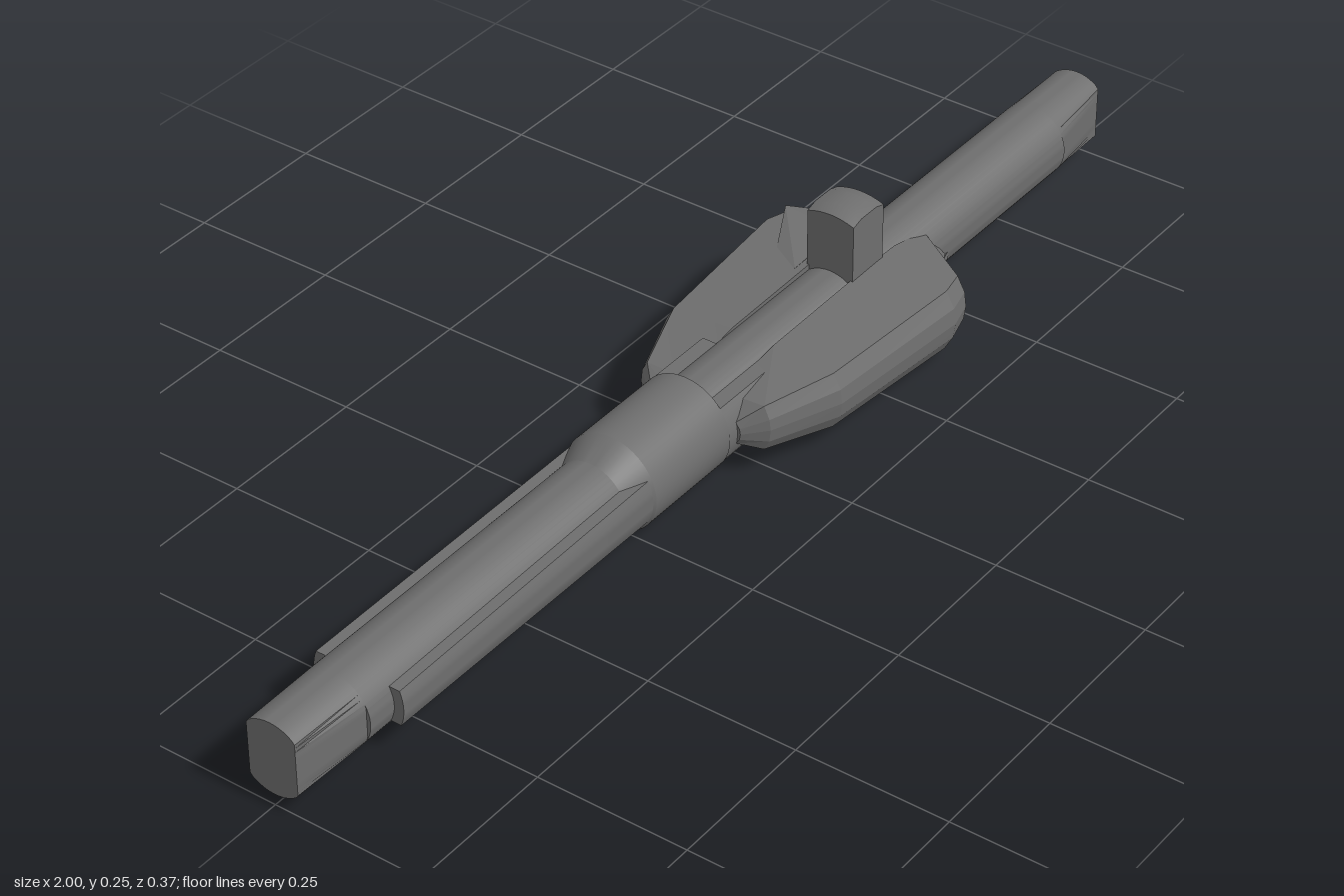
import * as THREE from 'three';
import { toCreasedNormals } from 'three/addons/utils/BufferGeometryUtils.js';

const AXIS = 0.082;   // height of the shaft's centre line
const R = 0.0625;     // shaft radius

// Skins a list of {x, ring} sections; each ring holds [y, z] pairs relative to the axis.
function loft(sections, crease) {
  const pos = [];
  const n = sections[0].ring.length;
  const p = (s, j) => [s.x, s.ring[j % n][0], s.ring[j % n][1]];
  const tri = (a, b, c) => pos.push(...a, ...b, ...c);
  for (let i = 0; i < sections.length - 1; i++) {
    const s = sections[i], t = sections[i + 1];
    for (let j = 0; j < n; j++) {
      tri(p(s, j), p(s, j + 1), p(t, j));
      tri(p(s, j + 1), p(t, j + 1), p(t, j));
    }
  }
  const mid = (s) => [s.x, s.ring.reduce((a, q) => a + q[0], 0) / n, s.ring.reduce((a, q) => a + q[1], 0) / n];
  const s = sections[0], t = sections[sections.length - 1];
  for (let j = 0; j < n; j++) {
    tri(mid(s), p(s, j + 1), p(s, j));
    tri(mid(t), p(t, j), p(t, j + 1));
  }
  const g = new THREE.BufferGeometry();
  g.setAttribute('position', new THREE.Float32BufferAttribute(pos, 3));
  return toCreasedNormals(g, crease);
}

// Circle whose sides are cut flat at z = +-w
function clippedCircle(r, w = r) {
  const ring = [];
  for (let i = 0; i < 48; i++) {
    const a = (i / 48) * Math.PI * 2;
    ring.push([Math.cos(a) * r, THREE.MathUtils.clamp(Math.sin(a) * r, -w, w)]);
  }
  return ring;
}

// Slice of a disc facing +z, reaching half a height h above and below the axis
function sideSlice(r, h) {
  const a = Math.asin(h / r);
  const ring = [[-h, 0.02], [h, 0.02]];
  for (let i = 0; i <= 8; i++) {
    const t = a - (2 * a * i) / 8;
    ring.push([Math.sin(t) * r, Math.cos(t) * r]);
  }
  return ring;
}

export function createModel() {
  const model = new THREE.Group();
  const metal = new THREE.MeshStandardMaterial({ color: 0x6e6e6e });
  metal.name = 'dark grey metal';

  const add = (name, geometry, parent = model) => {
    const m = new THREE.Mesh(geometry, metal);
    m.name = name;
    parent.add(m);
    return m;
  };

  const body = new THREE.Group();
  body.name = 'body';
  body.position.y = AXIS;
  model.add(body);

  // Round shaft with tapering flats at both ends
  const stations = [[-1, 0.042], [-0.87, 0.056], [-0.87, R], [0.87, R], [0.87, 0.056], [1, 0.042]];
  add('shaft', loft(stations.map(([x, w]) => ({ x, ring: clippedCircle(R, w) })), 0.35), body);

  // Thicker collar blending into the shaft
  add('collar', loft([[-0.3, 0.062], [-0.25, 0.081], [-0.07, 0.081]]
    .map(([x, r]) => ({ x, ring: clippedCircle(r) })), 0.25), body);

  // Left and right sides: raised rail, collar tongue and wing, turned half round the axis
  for (const side of [0, 1]) {
    const half = new THREE.Group();
    half.name = side ? 'backSide' : 'frontSide';
    half.rotation.x = side * Math.PI;
    body.add(half);

    add('rail', loft([
      { x: -0.82, ring: sideSlice(0.079, 0.03) },
      { x: -0.25, ring: sideSlice(0.079, 0.036) },
    ], 0.4), half);

    add('collarTongue', loft([-0.08, 0.06].map((x) => ({ x, ring: sideSlice(0.08, 0.05) })), 0.4), half);

    // x, outer reach, top, bottom, inner top, inner bottom
    const wing = [
      [-0.05, 0.085, 0.02, -0.018, 0.02, -0.02],
      [-0.02, 0.118, 0.044, -0.034, 0.04, -0.034],
      [0.1, 0.162, 0.05, -0.047, 0.056, -0.055],
      [0.37, 0.184, 0.053, -0.053, 0.06, -0.06],
      [0.42, 0.17, 0.048, -0.05, 0.058, -0.058],
      [0.5, 0.078, 0.012, -0.03, 0.04, -0.045],
      [0.54, 0.06, -0.012, -0.022, 0.01, -0.03],
    ];
    add('wing', loft(wing.map(([x, z, t, b, it, ib]) => ({
      x,
      ring: [[it, 0.038], [t, z * 0.9], [t * 0.6 + b * 0.1, z * 0.98], [(t + b) / 2, z],
        [b * 0.6 + t * 0.1, z * 0.98], [b, z * 0.9], [ib, 0.038]],
    })), 0.1), half);
  }

  // Thin raised splinter on the back wing
  add('splinter', loft([
    { x: 0.28, ring: [[0.058, -0.05], [0.05, -0.05], [0.05, -0.09]] },
    { x: 0.4, ring: [[0.062, -0.05], [0.052, -0.05], [0.068, -0.152]] },
    { x: 0.46, ring: [[0.055, -0.05], [0.045, -0.05], [0.05, -0.08]] },
  ], 0.1), body);

  // Upright peg with a shallow domed top
  const peg = new THREE.BoxGeometry(0.08, 0.14, 0.084, 4, 1, 8);
  const v = peg.attributes.position;
  for (let i = 0; i < v.count; i++) {
    if (v.getY(i) > 0) {
      const dx = Math.abs(v.getX(i)) / 0.04, dz = v.getZ(i) / 0.042;
      v.setY(i, 0.07 - 0.008 * dz * dz - (dx > 0.6 ? 0.006 : 0));
    }
  }
  add('peg', toCreasedNormals(peg, 0.3)).position.set(0.34, 0.182, 0);

  return model;
}
